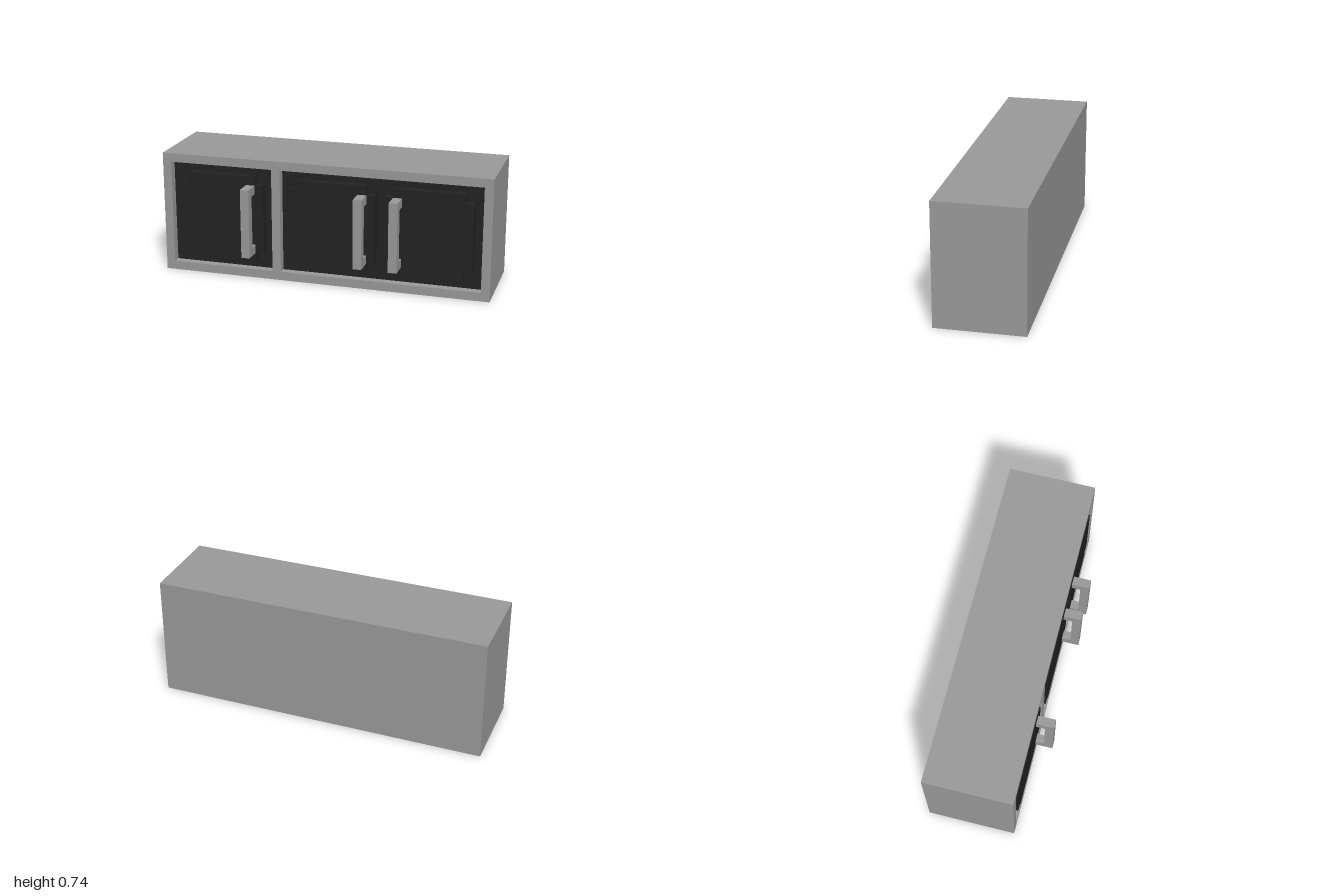
import * as THREE from 'three';

const U = 1 / 19; // design module: the cabinet is 38 x 14 x 10 modules

const polygon = (points) =>
  new THREE.Shape(points.map(([x, y]) => new THREE.Vector2(x * U, y * U)));
const rect = (x0, y0, x1, y1) => polygon([[x0, y0], [x1, y0], [x1, y1], [x0, y1]]);
const extrude = (shape, depth) =>
  new THREE.ExtrudeGeometry(shape, { depth: depth * U, bevelEnabled: false });

export function createModel() {
  const body = new THREE.MeshStandardMaterial({ color: 0x999999 });
  body.name = 'cabinet grey';
  const dark = new THREE.MeshStandardMaterial({ color: 0x222222 });
  dark.name = 'door black';

  const model = new THREE.Group();
  model.name = 'wallCabinet';
  const add = (name, geometry, material, x, y, z, parent = model) => {
    const mesh = new THREE.Mesh(geometry, material);
    mesh.name = name;
    mesh.position.set(x * U, y * U, z * U);
    parent.add(mesh);
  };

  // Carcass block behind the recess
  add('carcass', new THREE.BoxGeometry(38 * U, 14 * U, 9 * U), body, 0, 7, -1.5);

  // Front frame with a single and a double opening
  const openings = [[-18, -6], [-5, 18]];
  const frame = rect(-19, 0, 19, 14);
  for (const [x0, x1] of openings) frame.holes.push(rect(x0, 1, x1, 13));
  add('frontFrame', extrude(frame, 1), body, 0, 0, 3);

  // Dark backing at the bottom of each recess
  for (const [x0, x1] of openings) {
    add('recessPanel', extrude(rect(x0, 1, x1, 13), 0.06), dark, 0, 0, 3);
  }

  // Doors with notched corners, each with a bracket handle
  const doorShape = polygon([
    [1, 0], [9, 0], [9, 1], [10, 1], [10, 9], [9, 9],
    [9, 10], [1, 10], [1, 9], [0, 9], [0, 1], [1, 1],
  ]);
  const handleShape = polygon([
    [0, 0], [2, 0], [2, 8], [0, 8], [0, 7], [1, 7], [1, 1], [0, 1],
  ]);
  const doorGeometry = extrude(doorShape, 1);
  const handleGeometry = extrude(handleShape, 1).rotateY(-Math.PI / 2).translate(U, 0, 0);
  for (const [doorX, handleX] of [[-17, -9], [-4, 4], [7, 8]]) {
    const door = new THREE.Group();
    door.name = 'door';
    add('doorPanel', doorGeometry, dark, doorX, 2, 3, door);
    add('handle', handleGeometry, body, handleX, 3, 4, door);
    model.add(door);
  }
  return model;
}
